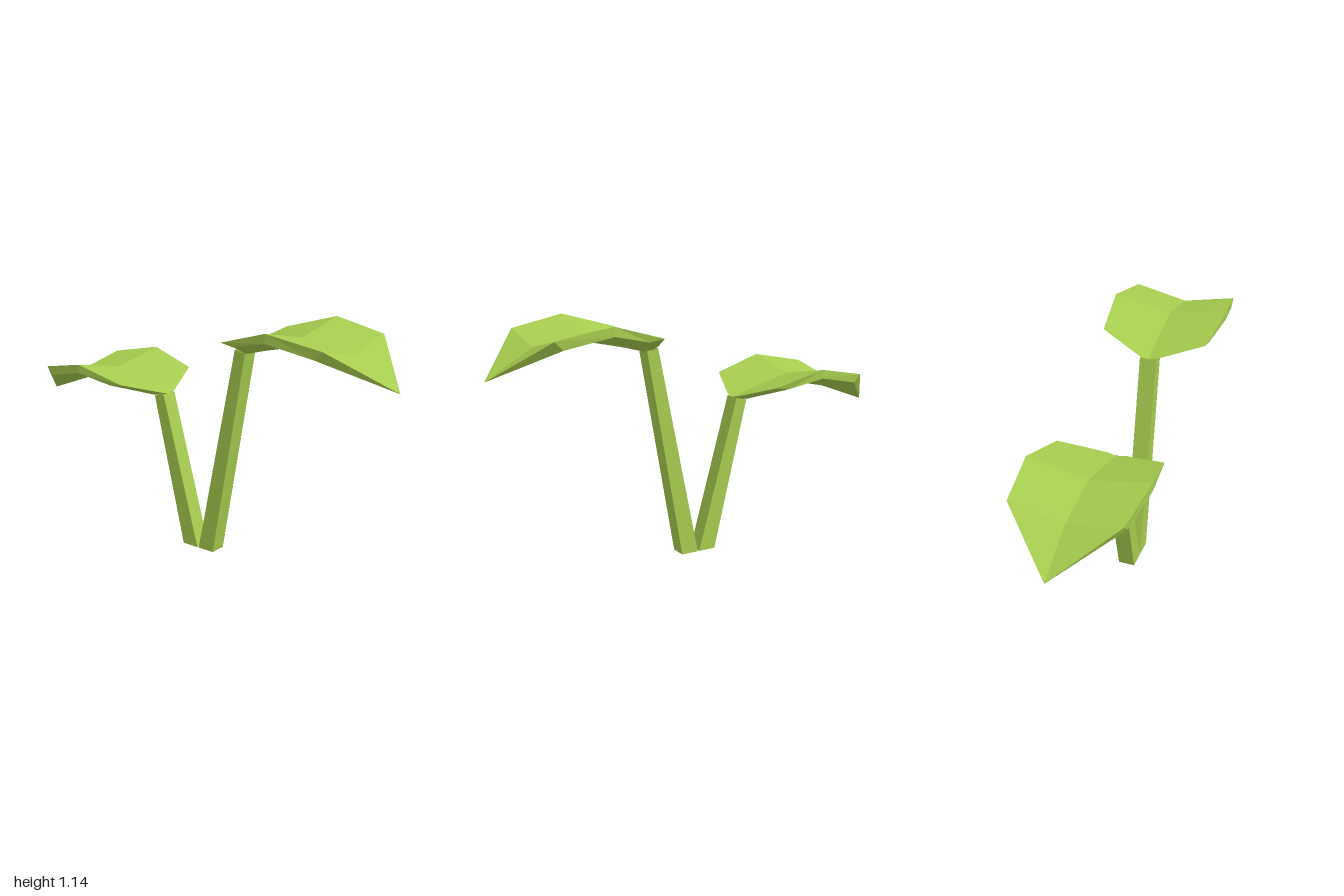
import * as THREE from 'three';

const leafGreen = new THREE.MeshStandardMaterial({ color: 0xa6cc4f, flatShading: true, side: THREE.DoubleSide });
leafGreen.name = 'leafGreen';

// Skin a list of equal-length point loops; side = -1 mirrors it across x.
function loft(sections, side, drop, capStart) {
  const pos = [];
  const tri = (a, b, c) => {
    const p = [a, b, c].map(([x, y, z]) => new THREE.Vector3(side * x, y === 0 ? 0 : y - drop, z));
    if (new THREE.Triangle(...p).getArea() < 1e-7) return;
    if (side < 0) p.reverse();
    p.forEach((v) => pos.push(v.x, v.y, v.z));
  };
  const quad = (a, b, c, d) => { tri(a, b, c); tri(a, c, d); };
  for (let i = 0; i < sections.length - 1; i++) {
    const s = sections[i], t = sections[i + 1], n = s.length;
    for (let j = 0; j < n; j++) {
      const k = (j + 1) % n;
      quad(s[j], s[k], t[k], t[j]);
    }
  }
  if (capStart) {
    const s = sections[0];
    quad(s[5], s[4], s[1], s[0]);
    quad(s[4], s[3], s[2], s[1]);
  }
  const g = new THREE.BufferGeometry();
  g.setAttribute('position', new THREE.Float32BufferAttribute(pos, 3));
  g.computeVertexNormals();
  return g;
}

// Folded leaf: half width, then x, rim y and midrib y for the top and the underside.
const leafStations = [
  [0.04, 0.21, 1.01, 1.0, 0.265, 0.993, 0.987],
  [0.25, 0.29, 1.076, 1.026, 0.36, 1.065, 1.012],
  [0.28, 0.535, 1.145, 1.09, 0.535, 1.104, 1.05],
  [0.25, 0.785, 1.098, 1.045, 0.75, 1.06, 1.005],
  [0, 1.0, 0.915, 0.915, 1.0, 0.915, 0.915],
];
const leafSections = leafStations.map(([w, xt, rimT, midT, xb, rimB, midB]) => [
  [xt, rimT, -w], [xt, midT, 0], [xt, rimT, w],
  [xb, rimB, w], [xb, midB, 0], [xb, rimB, -w],
]);

// Slanted square stalk, open at the foot.
const w = 0.04;
const stalkSections = [
  [[0.265, 0.99, -w], [0.21, 1.003, -w], [0.21, 1.003, w], [0.265, 0.99, w]],
  [[0.09, 0, -w], [0.004, 0, -w], [0.004, 0, w], [0.09, 0, w]],
];

export function createModel() {
  const model = new THREE.Group();
  model.name = 'sprout';
  // Tall shoot on the left (+x), shorter mirrored shoot on the right
  for (const [label, side, drop] of [['left', 1, 0], ['right', -1, 0.27]]) {
    const shoot = new THREE.Group();
    shoot.name = label + 'Shoot';
    const leaf = new THREE.Mesh(loft(leafSections, side, drop, true), leafGreen);
    leaf.name = label + 'Leaf';
    const stalk = new THREE.Mesh(loft(stalkSections, side, drop, false), leafGreen);
    stalk.name = label + 'Stalk';
    shoot.add(leaf, stalk);
    model.add(shoot);
  }
  return model;
}
